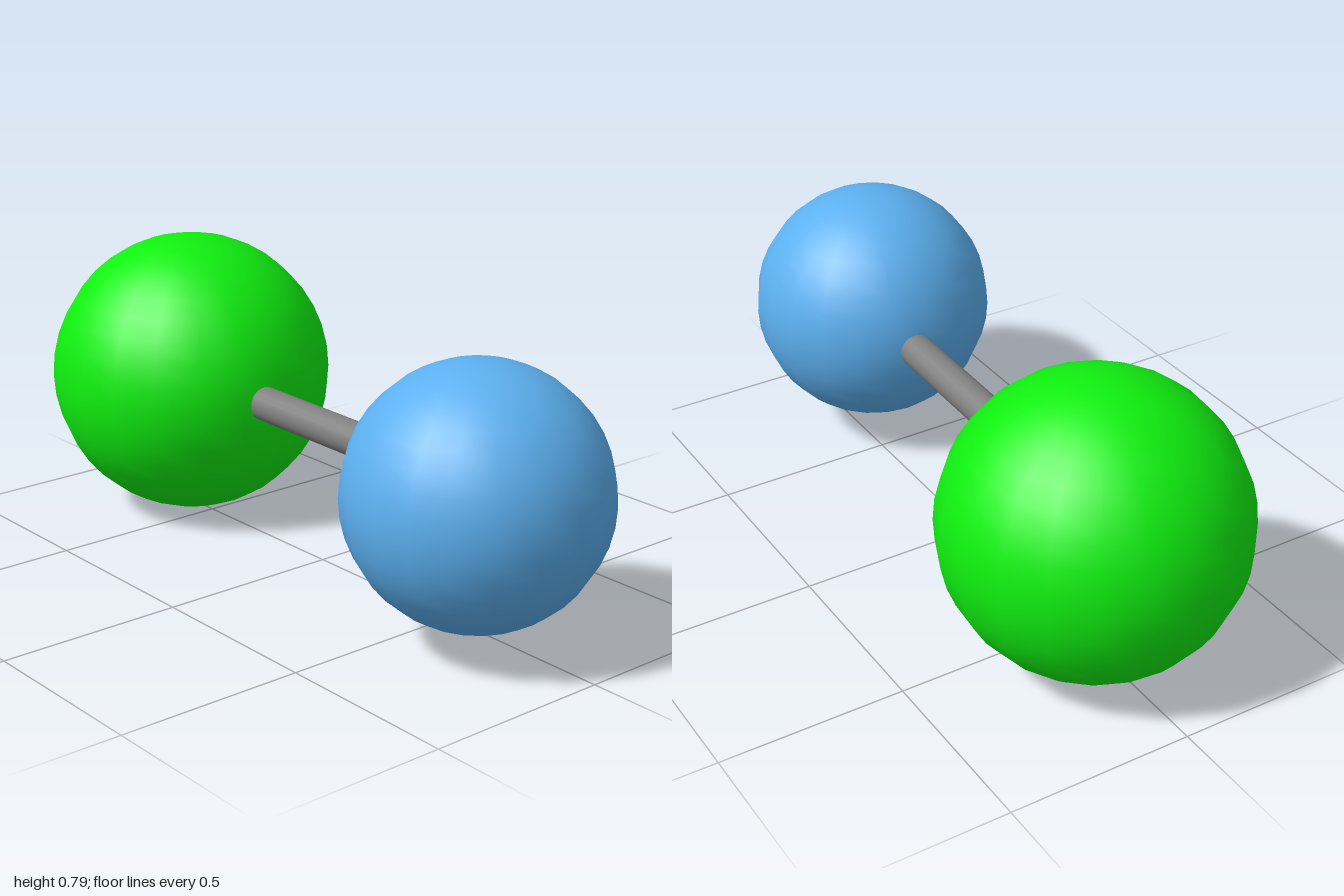
import * as THREE from 'three';

export function createModel() {
  const model = new THREE.Group();

  const add = (name, geometry, color) => {
    const mesh = new THREE.Mesh(geometry, new THREE.MeshStandardMaterial({ color }));
    mesh.name = name;
    model.add(mesh);
    return mesh;
  };

  // Two balls of different size
  const largeBall = add('largeBall', new THREE.SphereGeometry(0.395, 20, 20), 0x10f010);
  largeBall.position.set(-0.605, 0.398, -0.014);
  largeBall.rotation.y = 0.055;

  const smallBall = add('smallBall', new THREE.SphereGeometry(0.335, 20, 20), 0x5cb0f0);
  smallBall.position.set(0.663, 0.398, 0.07);

  // Connecting rod, its ends sunk into the balls
  const start = new THREE.Vector3(-0.3, 0.398, 0.02);
  const end = new THREE.Vector3(0.42, 0.398, 0.031);
  const direction = end.clone().sub(start);
  const rod = add('connectingRod', new THREE.CylinderGeometry(0.047, 0.047, direction.length(), 20), 0x808080);
  rod.position.copy(start).add(end).multiplyScalar(0.5);
  rod.quaternion.setFromUnitVectors(new THREE.Vector3(0, 1, 0), direction.normalize());

  return model;
}
